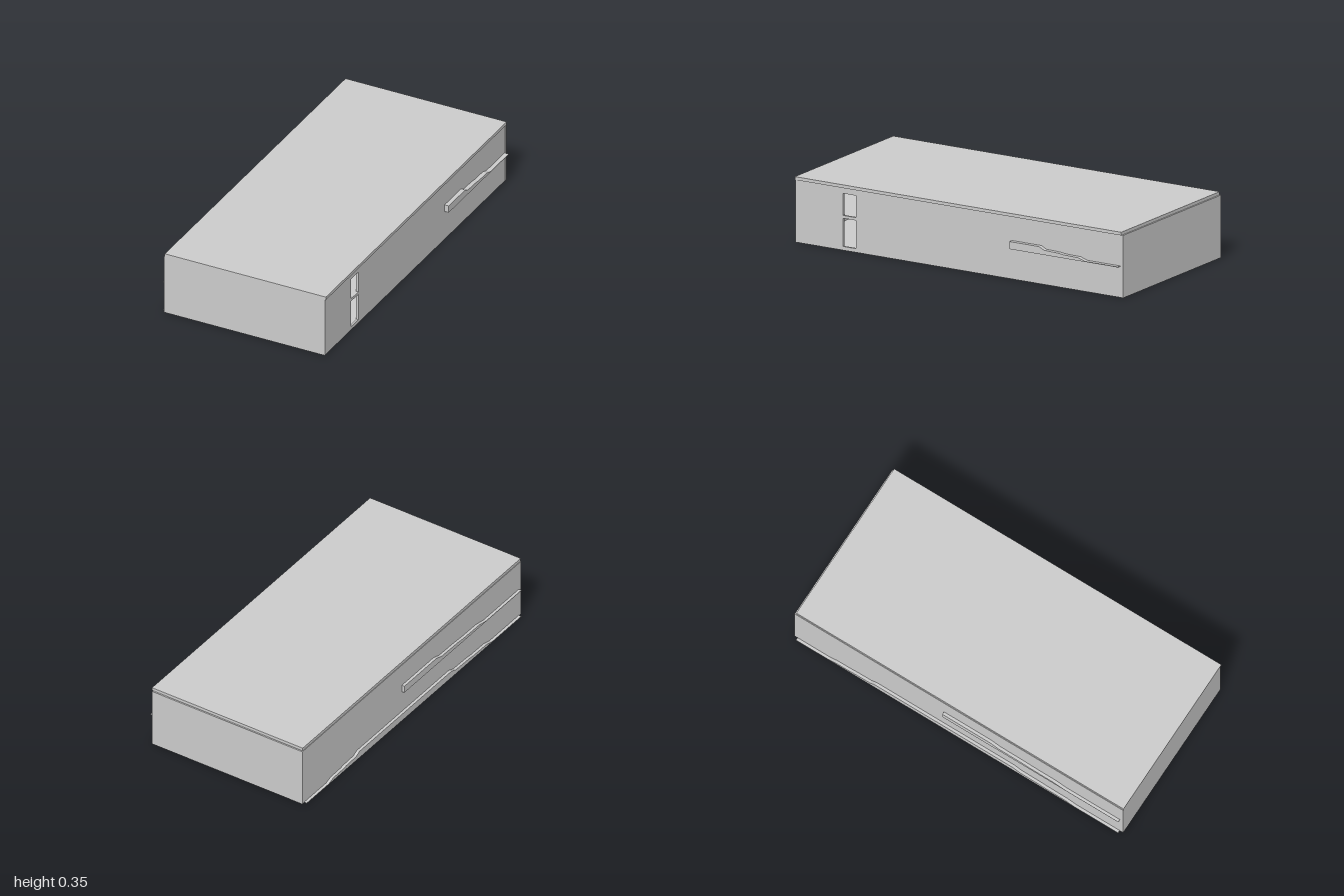
import * as THREE from 'three';

const material = new THREE.MeshStandardMaterial({ color: 0xcccccc, flatShading: true });

export function createModel() {
  const building = new THREE.Group();
  building.name = 'building';

  const add = (name, geometry) => {
    const mesh = new THREE.Mesh(geometry, material);
    mesh.name = name;
    building.add(mesh);
    return mesh;
  };

  // Box given by its two extreme corners
  const slab = (name, [x0, y0, z0], [x1, y1, z1]) =>
    add(name, new THREE.BoxGeometry(x1 - x0, y1 - y0, z1 - z0))
      .position.set((x0 + x1) / 2, (y0 + y1) / 2, (z0 + z1) / 2);

  // Outline in (z, y), extruded from xMax towards -x
  const sidePanel = (name, points, xMin, xMax, holes = []) => {
    const toVectors = (list) => list.map(([z, y]) => new THREE.Vector2(z, y));
    const shape = new THREE.Shape(toVectors(points));
    holes.forEach((hole) => shape.holes.push(new THREE.Path(toVectors(hole))));
    const geometry = new THREE.ExtrudeGeometry(shape, { depth: xMax - xMin, bevelEnabled: false });
    geometry.rotateY(-Math.PI / 2).translate(xMax, 0, 0);
    add(name, geometry);
  };

  const rect = (z0, y0, z1, y1) => [[z0, y0], [z1, y0], [z1, y1], [z0, y1]];

  // Floors and the offset roof
  slab('groundFloor', [-0.469, 0, -0.99], [0.459, 0.012, 0.99]);
  slab('middleFloor', [-0.46, 0.168, -0.987], [0.45, 0.182, 0.987]);
  slab('roof', [-0.467, 0.333, -0.99], [0.467, 0.35, 1]);

  // Walls around the hollow interior, two window openings on one side
  slab('frontWall', [-0.47, 0, 0.987], [0.461, 0.333, 1]);
  slab('backWall', [-0.47, 0, -0.998], [0.461, 0.333, -0.987]);
  slab('rightWall', [-0.47, 0, -0.987], [-0.46, 0.333, 0.987]);
  sidePanel('windowWall', rect(-0.987, 0, 0.987, 0.333), 0.448, 0.46, [
    rect(0.63, 0.02, 0.71, 0.17),
    rect(0.63, 0.185, 0.71, 0.302),
  ]);

  // Stepped slope from a tall start down to a thin plate; dir is the way it descends along z
  const steps = [[0, 0.04], [0.18, 0.04], [0.21, 0.025], [0.3, 0.022], [0.33, 0.018], [0.42, 0.016], [0.46, 0.003], [0.66, 0.003]];
  const slope = (start, dir, base, stretch = 1) =>
    steps.map(([run, rise]) => [start + dir * run * stretch, base + rise]);

  // Ledges standing out from the side walls
  sidePanel('leftLedge', [[-0.98, 0.165], [-0.32, 0.165], ...slope(-0.32, -1, 0.165)], 0.455, 0.484);
  sidePanel('rightUpperLedge',
    [[-0.09, 0.165], ...slope(-0.09, 1, 0.165, 1.62), [0.98, 0.165]], -0.486, -0.465);
  sidePanel('rightLowerLedge',
    [[-0.98, 0], ...slope(-0.32, -1, 0).reverse(), ...slope(0.1, 1, 0, 1.33), [0.98, 0]], -0.486, -0.465);

  return building;
}
